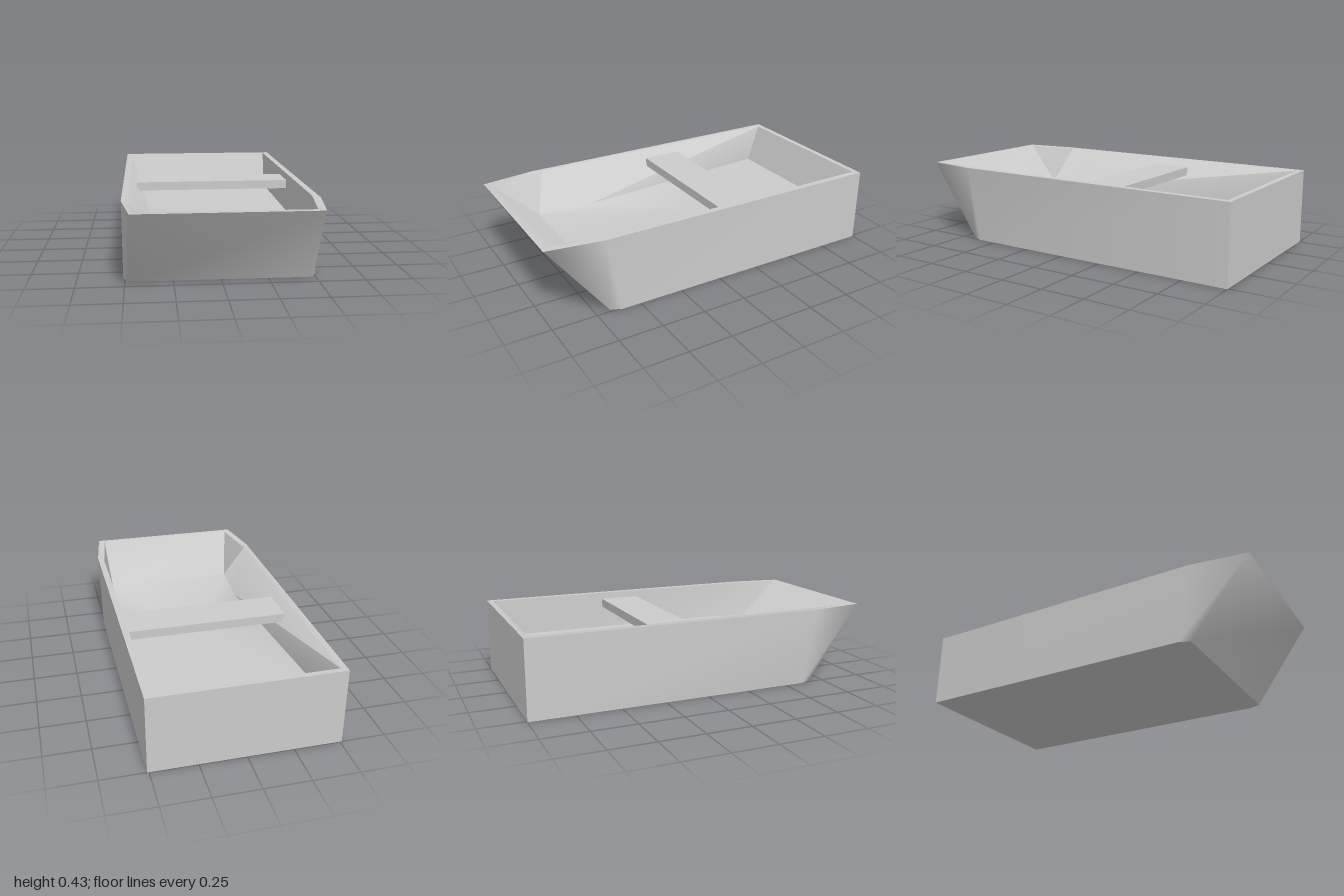
import * as THREE from 'three';
import { toCreasedNormals } from 'three/addons/utils/BufferGeometryUtils.js';

const material = new THREE.MeshStandardMaterial({ color: 0xcccccc });

// Skin consecutive loops of [x, y, z] corners; a one-point loop closes an end.
function skin(loops, crease) {
  const pos = [];
  const n = Math.max(...loops.map((l) => l.length));
  const at = (loop, i) => loop[i % loop.length];
  for (let l = 0; l + 1 < loops.length; l++) {
    const [a, b] = [loops[l], loops[l + 1]];
    for (let i = 0; i < n; i++) {
      if (a.length > 1) pos.push(...at(a, i), ...at(b, i), ...at(a, i + 1));
      if (b.length > 1) pos.push(...at(a, i + 1), ...at(b, i), ...at(b, i + 1));
    }
  }
  const geometry = new THREE.BufferGeometry();
  geometry.setAttribute('position', new THREE.Float32BufferAttribute(pos, 3));
  return toCreasedNormals(geometry, crease);
}

// Six-cornered plan outline: square stern, narrowed bow.
function outline(y, stern, side, shoulder, bow, bowHalf) {
  return [
    [-side, y, stern], [side, y, stern], [side, y, shoulder],
    [bowHalf, y, bow], [-bowHalf, y, bow], [-side, y, shoulder],
  ];
}

export function createModel() {
  const boat = new THREE.Group();
  boat.name = 'boat';
  const add = (name, geometry) => {
    const mesh = new THREE.Mesh(geometry, material);
    mesh.name = name;
    boat.add(mesh);
    return mesh;
  };

  const keel = outline(0, -1, 0.51, 0.61, 0.67, 0.485);
  const gunwale = outline(0.43, -1, 0.51, 0.69, 1, 0.465);

  // flat bottom, and sides that blend softly into the raked bow
  add('bottom', skin([[[0, 0, 0]], keel], 0.3));
  add('sides', skin([keel, gunwale], 1.5));

  // top edge running down to a raised floor, one side sloping wider
  const innerRim = outline(0.43, -0.97, 0.475, 0.64, 0.965, 0.43);
  const floor = [
    [-0.455, 0.21, -0.88], [0.47, 0.21, -0.88], [0.465, 0.21, 0.4],
    [0.42, 0.21, 0.72], [-0.36, 0.21, 0.72], [-0.34, 0.21, 0.4],
  ];
  add('interior', skin([gunwale, innerRim, floor, [[0.03, 0.21, -0.1]]], 1.1));

  // cross bench
  const seat = add('seat', new THREE.BoxGeometry(0.91, 0.05, 0.23));
  seat.position.set(0.018, 0.365, -0.165);

  return boat;
}
